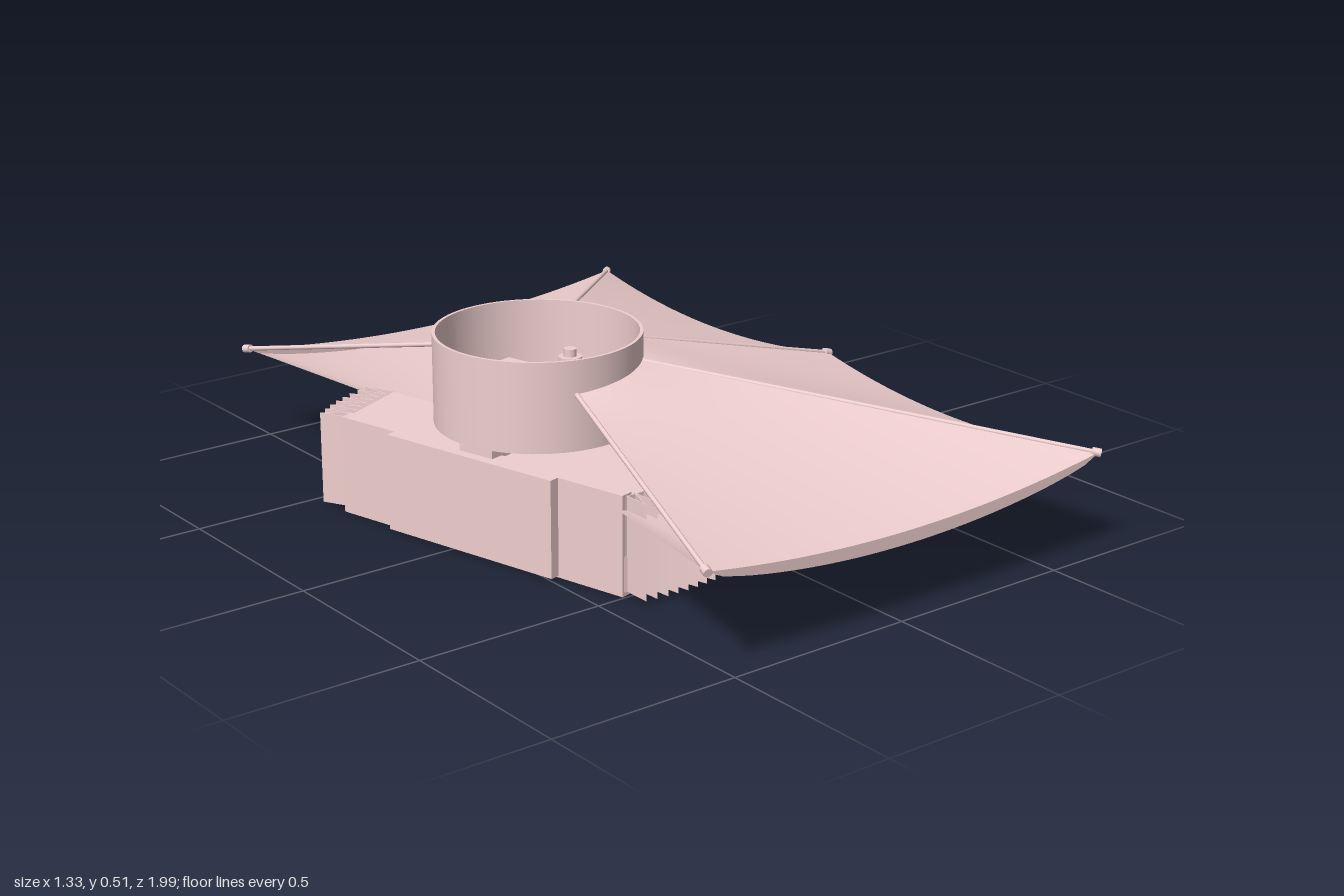
import * as THREE from 'three';

const material = new THREE.MeshStandardMaterial({ color: 0xf0cfcf });
const sheet = new THREE.MeshStandardMaterial({ color: 0xf0cfcf, side: THREE.DoubleSide });
const CX = -0.308, RING = 0.26;

function add(parent, name, geometry, mat = material, x = 0, y = 0, z = 0) {
  const mesh = new THREE.Mesh(geometry, mat);
  mesh.name = name;
  mesh.position.set(x, y, z);
  parent.add(mesh);
  return mesh;
}

function box(parent, name, x0, x1, y0, y1, z0, z1) {
  return add(parent, name, new THREE.BoxGeometry(x1 - x0, y1 - y0, z1 - z0), material,
    (x0 + x1) / 2, (y0 + y1) / 2, (z0 + z1) / 2);
}

// Upright prism over a plan outline of [x, z] points
function prism(parent, name, plan, y0, y1) {
  const shape = new THREE.Shape(plan.map(([x, z]) => new THREE.Vector2(x, -z)));
  const geometry = new THREE.ExtrudeGeometry(shape, { depth: y1 - y0, bevelEnabled: false });
  geometry.rotateX(-Math.PI / 2);
  return add(parent, name, geometry, material, 0, y0, 0);
}

function rod(parent, name, a, b, r) {
  const mesh = add(parent, name, new THREE.CylinderGeometry(r, r, a.distanceTo(b), 10));
  mesh.position.copy(a).lerp(b, 0.5);
  mesh.quaternion.setFromUnitVectors(new THREE.Vector3(0, 1, 0), b.clone().sub(a).normalize());
}

// Grid surface from a function of two parameters
function surface(f, nu, nv) {
  const pos = [], idx = [];
  for (let i = 0; i <= nu; i++)
    for (let j = 0; j <= nv; j++) pos.push(...f(i / nu, j / nv).toArray());
  for (let i = 0; i < nu; i++)
    for (let j = 0; j < nv; j++) {
      const a = i * (nv + 1) + j, b = a + nv + 1;
      idx.push(a, a + 1, b, b, a + 1, b + 1);
    }
  const g = new THREE.BufferGeometry();
  g.setAttribute('position', new THREE.Float32BufferAttribute(pos, 3));
  g.setIndex(idx);
  g.computeVertexNormals();
  return g;
}

// Thin concertina curtain along an arc of the base
function pleats(parent, name, a0, a1, count, side) {
  const zigzag = inset => Array.from({ length: count * 2 + 1 }, (_, i) => {
    const a = THREE.MathUtils.degToRad(a0 + (a1 - a0) * i / (count * 2));
    const r = (i % 2 ? 0.575 : 0.5) - inset;
    return [r * Math.cos(a), side * r * Math.sin(a)];
  });
  prism(parent, name, [...zigzag(0), ...zigzag(0.012).reverse()], 0.01, 0.252);
}

export function createModel() {
  const model = new THREE.Group();
  model.name = 'canopyShelter';

  // Open collar at the top of the canopy
  add(model, 'collar', new THREE.LatheGeometry([
    [0.252, 0.285], [RING, 0.285], [RING, 0.285], [RING, 0.515], [RING, 0.515],
    [0.252, 0.515], [0.252, 0.515], [0.252, 0.285],
  ].map(([x, y]) => new THREE.Vector2(x, y)), 64), sheet, CX, 0, 0);

  // Five spokes with end caps
  const tips = [[-0.57, 0.985], [0.65, 0.985], [0.65, 0], [0.65, -0.985], [-0.57, -0.985]]
    .map(([x, z]) => new THREE.Vector3(x, 0.265, z));
  const angles = tips.map(p => Math.atan2(p.z, p.x - CX));
  const heights = [0.43, 0.45, 0.45, 0.45, 0.43];
  const hub = (angle, y) => new THREE.Vector3(
    CX + RING * Math.cos(angle), y, RING * Math.sin(angle));
  tips.forEach((tip, i) => {
    const top = hub(angles[i], heights[i] - 0.002);
    rod(model, 'spoke', top, tip, 0.006);
    const cap = tip.clone().sub(top).setLength(0.016);
    rod(model, 'spokeCap', tip.clone().sub(cap), tip.clone().add(cap.multiplyScalar(0.4)), 0.011);
  });

  // Between the spokes: sloping fabric, a hem, and a flat lining underneath
  for (let i = 0; i < 4; i++) {
    const edge = (s, drop) => {
      const p = tips[i].clone().lerp(tips[i + 1], s), sag = 4 * s * (1 - s);
      p.y -= 0.05 * sag + drop * Math.pow(sag, 0.4);
      return p;
    };
    const inner = (s, y) => hub(THREE.MathUtils.lerp(angles[i], angles[i + 1], s), y);
    const canopy = (s, t) => inner(s, THREE.MathUtils.lerp(heights[i], heights[i + 1], s))
      .lerp(edge(s, 0), t);
    const lining = (s, t) => inner(s, 0.205).lerp(edge(s, 0.033), t);
    add(model, 'canopyPanel', surface(canopy, 28, 12), sheet);
    add(model, 'canopyHem', surface((s, t) => edge(s, 0.033 * t), 28, 1), sheet);
    add(model, 'canopyLining', surface(lining, 28, 12), sheet);
  }

  // Body below, turned slightly against the canopy
  const body = new THREE.Group();
  body.name = 'body';
  body.position.x = CX;
  body.rotation.y = 0.25;
  model.add(body);

  // Round base with one flat side
  const cut = Math.acos(-0.23 / 0.505);
  const disc = r => Array.from({ length: 49 }, (_, i) => {
    const a = -cut + 2 * cut * i / 48;
    return [r * Math.cos(a), r * Math.sin(a)];
  });
  prism(body, 'basePlate', disc(0.495), 0, 0.01);
  prism(body, 'base', disc(0.505), 0.01, 0.1);

  // Housing with side wings, flat wall and door panel
  prism(body, 'housing', [[-0.225, -0.45], [0, -0.49], [0, -0.3], [0.335, -0.3],
    [0.335, 0.3], [0.1, 0.3], [0.1, 0.48], [0, 0.49], [-0.225, 0.45]], 0.1, 0.25);
  box(body, 'flatWall', -0.235, -0.2, 0, 0.256, -0.45, 0.45);
  box(body, 'doorPanel', -0.262, -0.22, 0.005, 0.256, -0.27, 0.255);
  box(body, 'sidePost', 0.13, 0.17, 0.01, 0.25, 0.48, 0.54);
  pleats(body, 'frontCurtain', 74, 116, 14, 1);
  pleats(body, 'backCurtain', 90, 116, 8, -1);

  // Fittings inside the collar
  const fittings = new THREE.Group();
  fittings.name = 'fittings';
  body.add(fittings);
  box(fittings, 'counter', -0.235, 0.235, 0.245, 0.36, -0.055, 0.05);
  box(fittings, 'cabinet', -0.075, 0.035, 0.245, 0.41, -0.125, -0.055);
  box(fittings, 'bench', 0, 0.11, 0.245, 0.31, 0.06, 0.115);
  for (const [x, z] of [[-0.175, -0.1], [-0.115, -0.085], [0.135, -0.1]]) {
    const canister = add(fittings, 'canister', new THREE.CapsuleGeometry(0.025, 0.08, 6, 14),
      material, x, 0.34, z);
    canister.rotation.x = Math.PI / 2;
  }
  for (const [x, z, r] of [[0.162, -0.03, 0.03], [0.143, 0.108, 0.037]]) {
    add(fittings, 'pot', new THREE.CylinderGeometry(r, r, 0.155, 20), material, x, 0.322, z);
    add(fittings, 'potLid', new THREE.CylinderGeometry(r * 0.55, r * 0.55, 0.02, 16), material, x, 0.41, z);
  }
  // Braces from the counter to the collar
  for (const [x0, z0, x1, z1] of [[0, -0.12, 0.01, -0.24], [-0.03, 0.05, -0.13, 0.21], [0.1, 0.11, 0.14, 0.2]])
    rod(fittings, 'brace', new THREE.Vector3(x0, 0.33, z0), new THREE.Vector3(x1, 0.36, z1), 0.012);

  return model;
}
